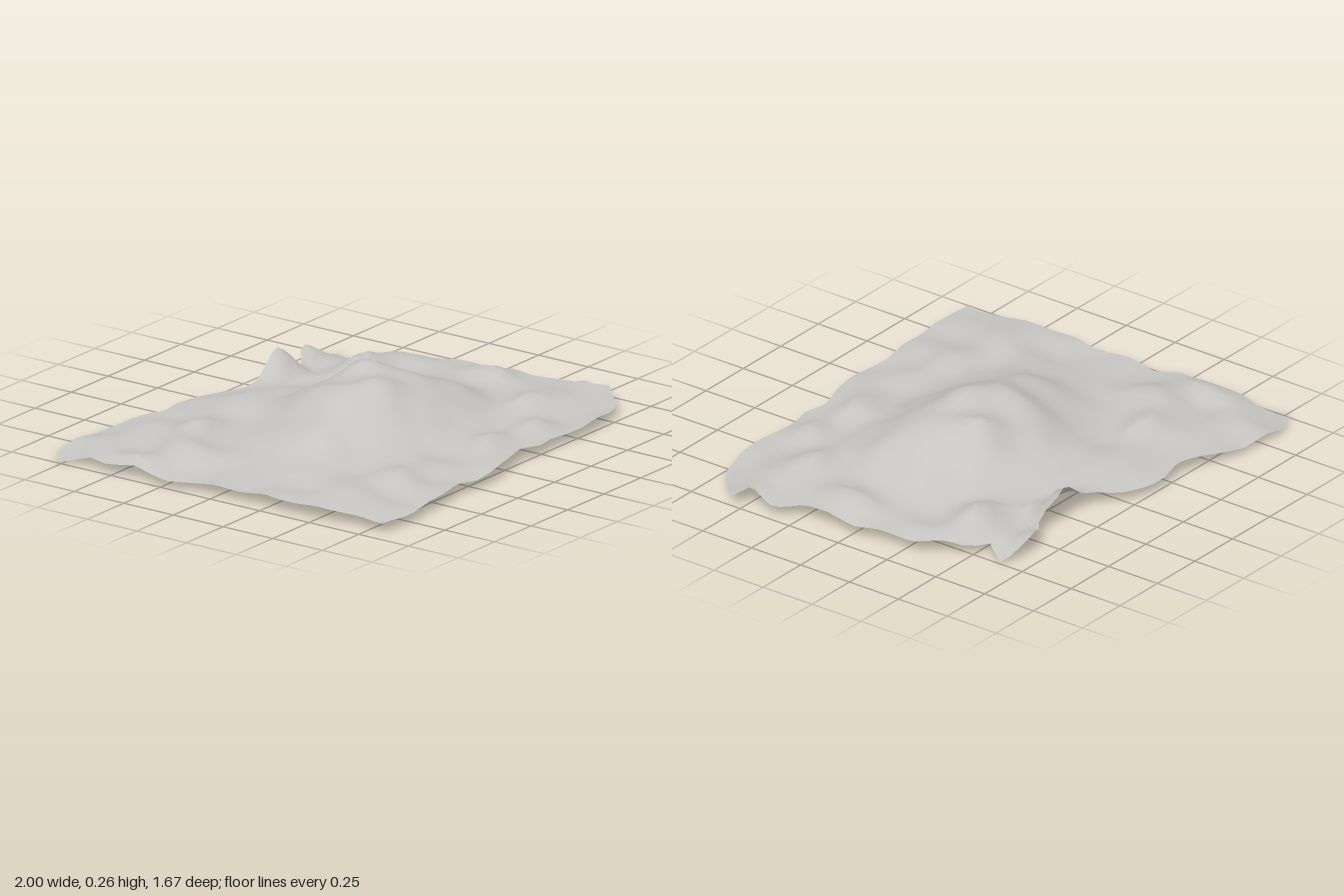
import * as THREE from 'three';

// Outline of the sheet as [x, z] points
const BACK = [[-1, -.78], [-.87, -.84], [-.62, -.82], [-.48, -.78], [-.33, -.72], [-.2, -.75], [-.1, -.74], [0, -.7],
  [.11, -.61], [.36, -.63], [.43, -.59], [.53, -.67], [.6, -.69], [.75, -.64]];
const FRONT = [[-.93, .82], [-.75, .835], [-.6, .81], [-.5, .81], [-.34, .78], [-.28, .8], [-.15, .8], [0, .77],
  [.13, .73], [.23, .76], [.33, .74], [.52, .76], [.7, .74], [.84, .7], [1, .54]];
const LEFT = [[-1, -.78], [-.95, -.65], [-.99, -.53], [-.97, -.4], [-1, -.22], [-.95, -.13], [-.96, .05],
  [-.94, .2], [-.96, .3], [-.95, .55], [-.92, .7], [-.93, .82]];
const RIGHT = [[.75, -.64], [.68, -.53], [.77, -.48], [.87, -.29], [.88, -.18], [.91, -.02], [.9, .24],
  [.97, .35], [.93, .52], [1, .54]];

// Local rises and hollows: x, z, height, radius in x, radius in z
const BUMPS = [
  [.0, .1, .025, .1, .1], [.2, -.11, .055, .08, .09], [-.16, .06, .02, .1, .12],
  [.3, -.62, .12, .11, .07], [.43, -.56, -.025, .07, .08], [.57, -.68, .06, .08, .07],
  [.74, -.62, -.04, .15, .14], [-.98, -.8, -.025, .2, .16],
  [-.47, -.45, .05, .13, .07], [-.72, -.3, .05, .12, .14], [-.9, -.4, .03, .06, .1],
  [-.45, .08, .05, .14, .2], [-.7, .45, .035, .14, .16], [-.42, .55, .04, .1, .08],
  [.6, .43, .06, .14, .08], [.57, -.38, .055, .12, .08], [.77, .1, .045, .08, .14],
  [.92, .48, .04, .07, .08], [.1, .6, .05, .12, .07], [.42, .22, .03, .1, .1],
  [-.1, -.5, .03, .16, .1], [.38, .62, .035, .1, .07],
];

// Point on an edge at fraction t along its main axis (0 = x, 1 = z)
function along(points, axis, t) {
  const a = points[0][axis], b = points[points.length - 1][axis];
  const v = a + (b - a) * t;
  let i = 0;
  while (i < points.length - 2 && points[i + 1][axis] < v) i++;
  const [p, q] = [points[i], points[i + 1]];
  const f = (v - p[axis]) / (q[axis] - p[axis]);
  return [p[0] + (q[0] - p[0]) * f, p[1] + (q[1] - p[1]) * f];
}

// Repeatable roughness on a coarse lattice
function hash(i, j) {
  const s = Math.sin(i * 127.1 + j * 311.7) * 43758.5453;
  return (s - Math.floor(s)) * 2 - 1;
}
function rough(x, z, cell) {
  const i = Math.floor(x / cell), j = Math.floor(z / cell);
  const f = x / cell - i, g = z / cell - j;
  return THREE.MathUtils.lerp(
    THREE.MathUtils.lerp(hash(i, j), hash(i + 1, j), f),
    THREE.MathUtils.lerp(hash(i, j + 1), hash(i + 1, j + 1), f), g);
}

function height(x, z) {
  // Broad central hill on a low plain that thins towards the rim
  const d = Math.hypot((x - .04) / .41, (z - .035) / .325);
  let y = .057 + .18 * Math.exp(-Math.pow(d, 2.8));
  y -= .018 * Math.pow(Math.max(Math.abs(x), Math.abs(z) * 1.2), 4);
  for (const [bx, bz, h, rx, rz] of BUMPS) {
    y += h * Math.exp(-(((x - bx) / rx) ** 2) - ((z - bz) / rz) ** 2);
  }
  return Math.max(0, y + .018 * rough(x, z, .13));
}

export function createModel() {
  const group = new THREE.Group();
  group.name = 'terrain';
  const stone = new THREE.MeshStandardMaterial({ color: 0xc6c5c2, side: THREE.DoubleSide });
  stone.name = 'stone grey';

  // Grid stretched between the four irregular edges
  const geometry = new THREE.PlaneGeometry(1, 1, 40, 34);
  const pos = geometry.attributes.position;
  const c00 = BACK[0], c10 = RIGHT[0], c01 = FRONT[0], c11 = RIGHT[RIGHT.length - 1];
  for (let k = 0; k < pos.count; k++) {
    const u = pos.getX(k) + .5, v = .5 - pos.getY(k);
    const b = along(BACK, 0, u), f = along(FRONT, 0, u);
    const l = along(LEFT, 1, v), r = along(RIGHT, 1, v);
    const [x, z] = [0, 1].map((a) => (1 - v) * b[a] + v * f[a] + (1 - u) * l[a] + u * r[a]
      - (1 - u) * (1 - v) * c00[a] - u * (1 - v) * c10[a] - (1 - u) * v * c01[a] - u * v * c11[a]);
    pos.setXYZ(k, x, height(x, z), z);
  }
  geometry.computeVertexNormals();

  const ground = new THREE.Mesh(geometry, stone);
  ground.name = 'hillyGround';
  group.add(ground);
  return group;
}
